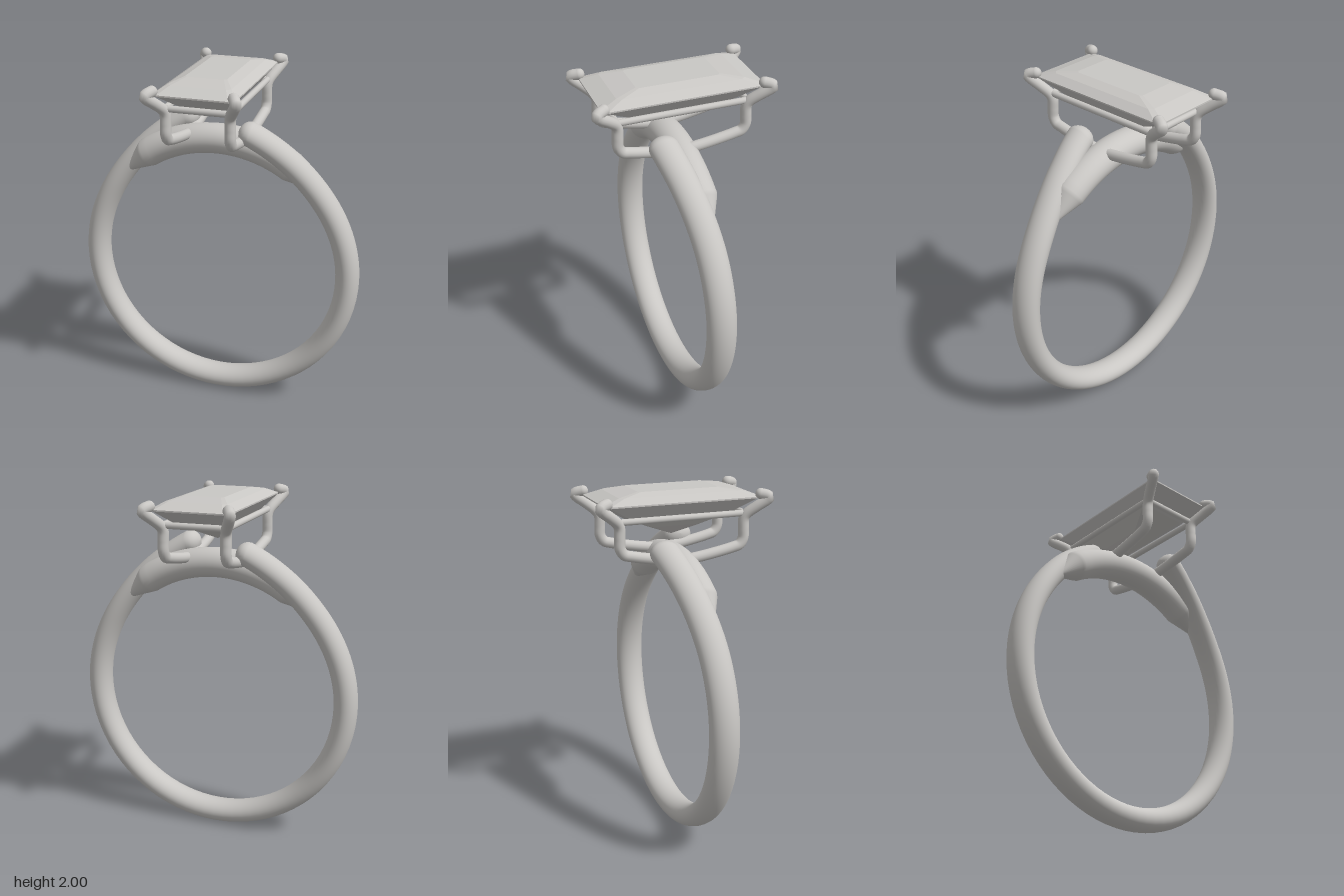
import * as THREE from 'three';

const CENTRE_Y = 0.83; // centre of the finger hole
const RAD = Math.PI / 180;

// Sweep an elliptical section around the finger hole.
// Stations: { deg (clockwise from the top), r, z, a (radial half), b (width half) }
function sweepAroundFinger(stations, sides = 32) {
  const pos = [], index = [];
  stations.forEach(({ deg, r, z, a, b }, i) => {
    const s = Math.sin(deg * RAD), c = Math.cos(deg * RAD);
    for (let j = 0; j < sides; j++) {
      const phi = (j / sides) * Math.PI * 2;
      const rr = r + a * Math.cos(phi);
      pos.push(rr * s, CENTRE_Y + rr * c, z + b * Math.sin(phi));
      if (i === stations.length - 1) continue;
      const p = i * sides + j, q = i * sides + (j + 1) % sides;
      index.push(p, q, p + sides, q, q + sides, p + sides);
    }
  });
  const geo = new THREE.BufferGeometry();
  geo.setAttribute('position', new THREE.Float32BufferAttribute(pos, 3));
  geo.setIndex(index);
  geo.computeVertexNormals();
  return geo;
}

// Bypass shank: one end sweeps to the front, the other to the back
function shankGeometry() {
  const half = [[14, 0.88, 0.118], [20, 0.856, 0.1], [30, 0.822, 0.071], [45, 0.786, 0.038],
    [62, 0.769, 0.016], [90, 0.764, 0.003], [135, 0.763, 0]];
  const keys = [
    ...half.map(([d, r, z]) => new THREE.Vector3(d, r, z)),
    new THREE.Vector3(180, 0.763, 0),
    ...half.map(([d, r, z]) => new THREE.Vector3(360 - d, r, -z)).reverse(),
  ];
  const curve = new THREE.CatmullRomCurve3(keys, false, 'catmullrom', 0.5);
  const body = [];
  for (let i = 0; i <= 140; i++) {
    const p = curve.getPoint(i / 140);
    body.push({ deg: p.x, r: p.y, z: p.z, a: 0.067, b: 0.083 });
  }
  // Domed ends
  const dome = (s, dir) => [1, 2, 3, 4, 5, 6].map((k) => {
    const t = (k / 6) * Math.PI / 2, f = Math.max(Math.cos(t), 0.002);
    return { deg: s.deg + dir * 4 * Math.sin(t), r: s.r, z: s.z, a: s.a * f, b: s.b * f };
  });
  return sweepAroundFinger([
    ...dome(body[0], -1).reverse(), ...body, ...dome(body[140], 1),
  ]);
}

// Thick bridge under the stone, with tapered ends running into the shank
function bridgeGeometry() {
  const stations = [];
  const tip = (s) => ({ deg: s * 46, r: 0.768, z: -s * 0.01, a: 0.012, b: 0.015 });
  const shoulder = (s) => ({ deg: s * 34.5, r: 0.771, z: 0, a: 0.077, b: 0.088 });
  stations.push(tip(-1), shoulder(-1));
  for (let d = -33; d <= 33; d += 3) stations.push({ deg: d, r: 0.772, z: 0, a: 0.084, b: 0.094 });
  stations.push(shoulder(1), tip(1));
  return sweepAroundFinger(stations);
}

// Step-cut stone: cut-corner rectangles stacked from keel to table
function stoneGeometry() {
  const levels = [ // half x, half z, y, corner cut
    [0.002, 0.004, 1.74, 0.001], [0.08, 0.15, 1.798, 0.012], [0.152, 0.31, 1.865, 0.02],
    [0.22, 0.445, 1.942, 0.03], [0.22, 0.445, 1.95, 0.03],
    [0.172, 0.35, 1.981, 0.022], [0.115, 0.23, 2.0, 0.014],
  ];
  const pos = [], index = [];
  levels.forEach(([x, z, y, c], i) => {
    const ring = [[x, z - c], [x - c, z], [c - x, z], [-x, z - c],
      [-x, c - z], [c - x, -z], [x - c, -z], [x, c - z]];
    ring.forEach(([px, pz], j) => {
      pos.push(px, y, pz);
      if (i === levels.length - 1) return;
      const p = i * 8 + j, q = i * 8 + (j + 1) % 8;
      index.push(p, p + 8, q, q, p + 8, q + 8);
    });
  });
  const top = (levels.length - 1) * 8;
  for (let j = 1; j < 7; j++) {
    index.push(0, j, j + 1);
    index.push(top, top + j + 1, top + j);
  }
  const geo = new THREE.BufferGeometry();
  geo.setAttribute('position', new THREE.Float32BufferAttribute(pos, 3));
  geo.setIndex(index);
  const flat = geo.toNonIndexed(); // separate facets give crisp edges
  flat.computeVertexNormals();
  return flat;
}

export function createModel() {
  const silver = new THREE.MeshStandardMaterial({ color: 0xc9c7c4 });
  silver.name = 'silver';
  const model = new THREE.Group();
  model.name = 'ring';
  const add = (name, geo, parent = model) => {
    const mesh = new THREE.Mesh(geo, silver);
    mesh.name = name;
    parent.add(mesh);
    return mesh;
  };

  add('shank', shankGeometry());
  add('bridge', bridgeGeometry());
  add('stone', stoneGeometry());

  // Four claw prongs, each rising from the bridge and hooking over a corner
  const prongPath = [
    [0.165, 1.628, 0.05], [0.168, 1.645, 0.16], [0.172, 1.672, 0.295], [0.175, 1.685, 0.335],
    [0.176, 1.72, 0.357], [0.176, 1.77, 0.358], [0.176, 1.825, 0.358], [0.182, 1.852, 0.369],
    [0.21, 1.897, 0.42], [0.234, 1.933, 0.468], [0.24, 1.948, 0.479], [0.234, 1.957, 0.47],
    [0.217, 1.966, 0.437],
  ];
  for (const sx of [-1, 1]) {
    for (const sz of [-1, 1]) {
      const prong = new THREE.Group();
      prong.name = (sz > 0 ? 'front' : 'back') + (sx > 0 ? 'Left' : 'Right') + 'Prong';
      const points = prongPath.map(([x, y, z]) => new THREE.Vector3(sx * x, y, sz * z));
      const curve = new THREE.CatmullRomCurve3(points, false, 'centripetal');
      add('claw', new THREE.TubeGeometry(curve, 72, 0.03, 16), prong);
      for (const end of [points[0], points[points.length - 1]]) {
        add('roundedEnd', new THREE.SphereGeometry(0.03, 16, 12), prong).position.copy(end);
      }
      model.add(prong);
    }
  }

  // Thin gallery rail joining the prongs below the stone
  const rail = new THREE.Group();
  rail.name = 'galleryRail';
  for (const s of [-1, 1]) {
    const side = add('sideRail', new THREE.CylinderGeometry(0.018, 0.018, 0.72, 14), rail);
    side.rotation.x = Math.PI / 2;
    side.position.set(s * 0.178, 1.859, 0);
    const end = add('endRail', new THREE.CylinderGeometry(0.018, 0.018, 0.356, 14), rail);
    end.rotation.z = Math.PI / 2;
    end.position.set(0, 1.859, s * 0.36);
  }
  model.add(rail);

  return model;
}
